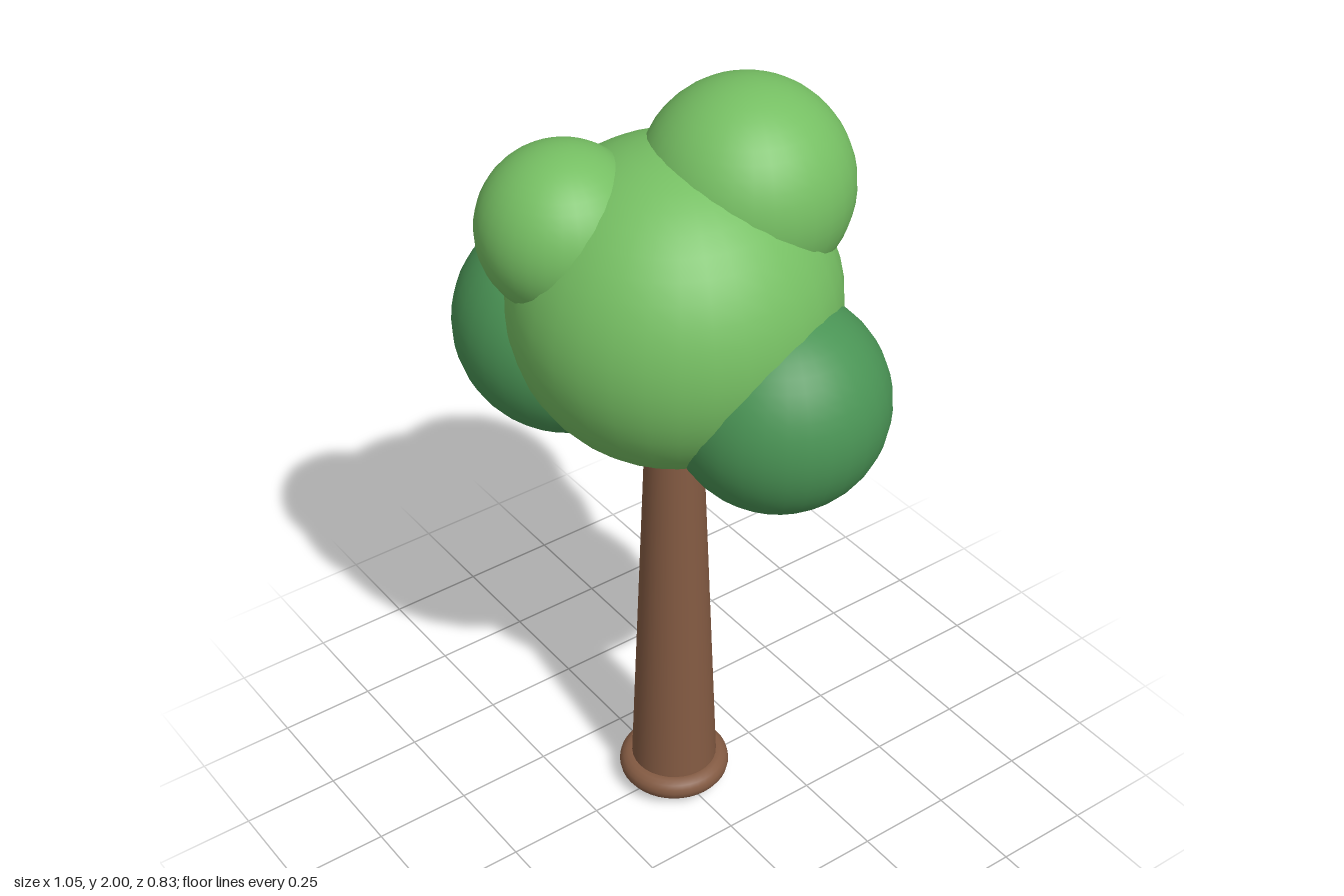
import * as THREE from 'three';

export function createModel() {
  const tree = new THREE.Group();
  tree.name = 'tree';
  const material = (name, color) => {
    const m = new THREE.MeshStandardMaterial({ color });
    m.name = name;
    return m;
  };
  const bark = material('bark brown', 0x835a42);
  const lightLeaf = material('light leaf green', 0x76bf63);
  const darkLeaf = material('dark leaf green', 0x4a9455);

  const add = (name, geometry, mat, x = 0, y = 0, z = 0) => {
    const mesh = new THREE.Mesh(geometry, mat);
    mesh.name = name;
    mesh.position.set(x, y, z);
    tree.add(mesh);
    return mesh;
  };

  // Tapered trunk with a shallow rounded underside
  const profile = [[0, 0], [0.06, 0.005], [0.1, 0.016], [0.112, 0.04], [0.11, 0.09], [0.07, 1.1], [0.065, 1.25]]
    .map(([r, y]) => new THREE.Vector2(r, y));
  add('trunk', new THREE.LatheGeometry(profile, 32), bark);

  // Rounded ring around the foot
  const ring = add('trunkBaseRing', new THREE.TorusGeometry(0.111, 0.032, 16, 40), bark, 0, 0.053, 0);
  ring.rotation.x = Math.PI / 2;

  // Overlapping foliage balls: name, material, radius, centre
  const foliage = [
    ['mainFoliage', lightLeaf, 0.388, 0, 1.487, 0],
    ['topFoliage', lightLeaf, 0.248, 0.042, 1.752, -0.168],
    ['frontFoliage', lightLeaf, 0.2, -0.122, 1.69, 0.213],
    ['rightFoliage', darkLeaf, 0.272, -0.252, 1.352, 0.127],
    ['leftFoliage', darkLeaf, 0.259, 0.264, 1.313, -0.1],
  ];
  for (const [name, mat, r, x, y, z] of foliage) {
    add(name, new THREE.SphereGeometry(r, 32, 24), mat, x, y, z);
  }
  return tree;
}
